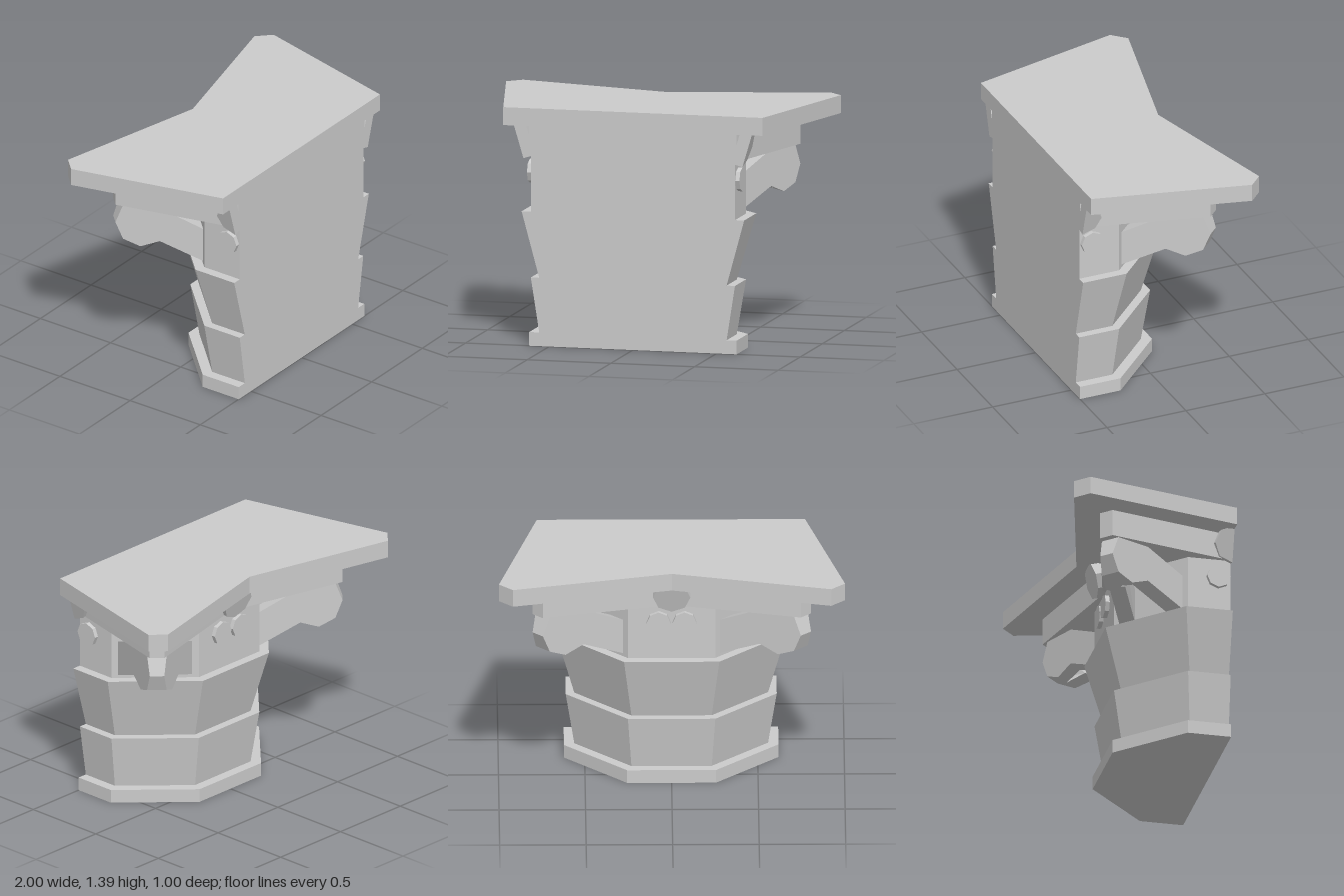
import * as THREE from 'three';

const material = new THREE.MeshStandardMaterial({ color: 0xcccccc, flatShading: true });

// Closed solid between two matching polygons; outline is their counter-clockwise 2D shape
function skin(outline, a, b) {
  const pos = [];
  const tri = (...pts) => pts.forEach((p) => pos.push(...p));
  for (const [i, j, k] of THREE.ShapeUtils.triangulateShape(outline, [])) {
    tri(b[i], b[j], b[k]);
    tri(a[k], a[j], a[i]);
  }
  a.forEach((p, i) => {
    const n = (i + 1) % a.length;
    tri(p, a[n], b[n]);
    tri(p, b[n], b[i]);
  });
  const geo = new THREE.BufferGeometry();
  geo.setAttribute('position', new THREE.Float32BufferAttribute(pos, 3));
  geo.computeVertexNormals();
  return geo;
}

function mesh(name, geo) {
  const m = new THREE.Mesh(geo, material);
  m.name = name;
  return m;
}

// Horizontal layer from plan points (x, depth behind the wall)
function layer(name, planLow, planHigh, y0, y1) {
  return mesh(name, skin(
    planLow.map(([x, d]) => new THREE.Vector2(x, d)),
    planLow.map(([x, d]) => [x, y0, -d]),
    planHigh.map(([x, d]) => [x, y1, -d])
  ));
}

// Half octagon with apothem r
function halfOctagon(r) {
  const t = r * Math.tan(Math.PI / 8);
  return [[r, 0], [r, t], [t, r], [-t, r], [-r, t], [-r, 0]];
}

// Concave-sided slab with chamfered corners
function concavePlan(mid, near, far) {
  return [[mid, 0], [far, near], [near, far], [0, mid], [-near, far], [-far, near], [-mid, 0]];
}

// Eight-sided disc; half = 1 or -1 keeps only that side, 0 keeps all
function disc(name, r, depth, half = 0) {
  const pts = [];
  const count = half ? 5 : 8;
  const start = half > 0 ? -Math.PI / 2 : Math.PI / 2;
  for (let i = 0; i < count; i++) {
    const a = start + i * Math.PI / 4;
    pts.push(new THREE.Vector2(r * Math.cos(a), r * Math.sin(a)));
  }
  return mesh(name, new THREE.ExtrudeGeometry(new THREE.Shape(pts), { depth, bevelEnabled: false }));
}

// Forked corner scroll: two leaves that meet at the tip
function cornerScroll() {
  const g = new THREE.Group();
  g.name = 'cornerScroll';
  const profile = [
    [0.6, 0.8], [0.85, 0.91], [0.958, 0.865], [1.054, 0.905],
    [1.096, 1.01], [1.054, 1.126], [0.85, 1.126], [0.6, 1.01],
  ];
  const spread = (d) => 0.214 - 0.354 * (d - 0.61);
  const geo = skin(
    profile.map(([d, y]) => new THREE.Vector2(d, y)),
    profile.map(([d, y]) => [d, y, Math.max(0, spread(d) - 0.103)]),
    profile.map(([d, y]) => [d, y, spread(d)])
  );
  for (const side of [1, -1]) {
    const leaf = mesh('scrollLeaf', geo);
    leaf.scale.z = side;
    g.add(leaf);
  }
  return g;
}

export function createModel() {
  const root = new THREE.Group();
  root.name = 'halfCapital';
  const body = new THREE.Group();
  body.name = 'capitalBody';
  body.position.z = 0.5; // wall plane
  root.add(body);

  // Octagonal tiers: name, lower apothem, upper apothem, y range
  const tiers = [
    ['baseRing', 0.62, 0.62, 0, 0.08],
    ['lowerBand', 0.56, 0.61, 0.08, 0.4],
    ['upperBand', 0.56, 0.665, 0.4, 0.785],
    ['neck', 0.61, 0.61, 0.785, 1.125],
  ];
  for (const [name, r0, r1, y0, y1] of tiers) {
    body.add(layer(name, halfOctagon(r0), halfOctagon(r1), y0, y1));
  }

  // Concave slabs on top
  const small = concavePlan(0.62, 0.745, 0.805);
  const large = concavePlan(0.775, 0.92, 1);
  body.add(layer('lowerSlab', small, small, 1.125, 1.285));
  body.add(layer('topSlab', large, large, 1.285, 1.39));

  // Scrolls on the two diagonals
  for (const angle of [Math.PI / 4, 3 * Math.PI / 4]) {
    const scroll = cornerScroll();
    scroll.rotation.y = angle;
    body.add(scroll);
  }

  // Tilted rosette and round studs on each straight side, cut at the wall
  for (const [angle, half] of [[Math.PI / 2, 1], [-Math.PI / 2, -1], [Math.PI, 0]]) {
    const side = new THREE.Group();
    side.name = 'sideOrnament';
    side.rotation.y = angle;
    const rosette = disc('rosette', 0.108, 0.07, half);
    rosette.position.set(0, 1.22, 0.618);
    rosette.rotation.x = 0.29;
    side.add(rosette);
    for (const s of half ? [half] : [1, -1]) {
      const stud = disc('stud', 0.07, 0.04);
      stud.position.set(s * 0.075, 1.013, 0.595);
      side.add(stud);
    }
    body.add(side);
  }
  return root;
}
